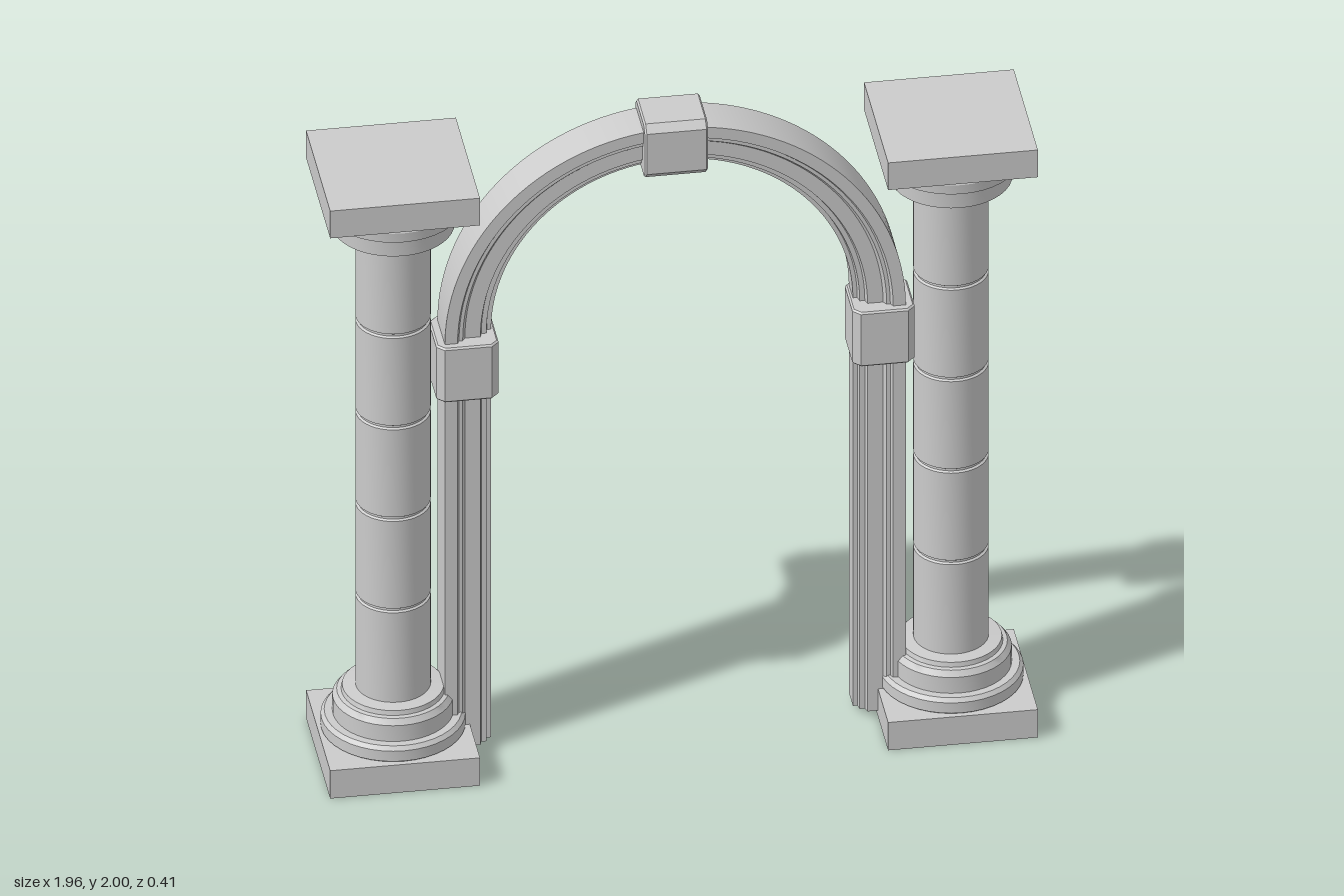
import * as THREE from 'three';
import { toCreasedNormals } from 'three/addons/utils/BufferGeometryUtils.js';

const material = new THREE.MeshStandardMaterial({ color: 0xcccccc });
const COLUMN_X = 0.771, SHAFT_R = 0.103, SPRING_Y = 1.34;

// Moulded section of the arch as [radius, z]: flat back, stepped front
const archSection = [
  [0.5, -0.07], [0.637, -0.07], [0.637, 0.058], [0.602, 0.058], [0.596, 0.046],
  [0.586, 0.046], [0.578, 0.034], [0.535, 0.034], [0.53, 0.018], [0.516, 0.018],
  [0.512, 0.0], [0.5, 0.0],
];

function add(parent, name, geometry, x = 0, y = 0, z = 0) {
  const mesh = new THREE.Mesh(geometry, material);
  mesh.name = name;
  mesh.position.set(x, y, z);
  parent.add(mesh);
  return mesh;
}

function lathe(points, segments, start, length) {
  const profile = points.map(([r, h]) => new THREE.Vector2(r, h));
  return toCreasedNormals(new THREE.LatheGeometry(profile, segments, start, length), 0.5);
}

// Square block with chamfered long edges, standing along y
function chamferedBlock(size, height, cut = 0.021) {
  const a = size / 2, b = a - cut, bevel = 0.005;
  const shape = new THREE.Shape([
    [a, -b], [a, b], [b, a], [-b, a], [-a, b], [-a, -b], [-b, -a], [b, -a],
  ].map(([x, y]) => new THREE.Vector2(x, y)));
  return new THREE.ExtrudeGeometry(shape, {
    depth: height - 2 * bevel, bevelEnabled: true, bevelSegments: 1,
    bevelSize: bevel, bevelThickness: bevel, bevelOffset: -bevel,
  }).translate(0, 0, bevel - height / 2).rotateX(-Math.PI / 2);
}

function createColumn(name, x) {
  const column = new THREE.Group();
  column.name = name;
  column.position.x = x;
  add(column, 'plinth', new THREE.BoxGeometry(0.414, 0.09, 0.414), 0, 0.045);
  add(column, 'base', lathe([
    [0.185, 0.085], [0.198, 0.095], [0.198, 0.128], [0.188, 0.139], [0.166, 0.139],
    [0.166, 0.19], [0.154, 0.206], [0.142, 0.208], [0.139, 0.222], [0.1, 0.226],
  ], 40));

  // Shaft of stacked drums with narrow joints
  const shaft = [[SHAFT_R, 0.22]];
  for (const y of [0.522, 0.818, 1.114, 1.41]) {
    shaft.push([SHAFT_R, y - 0.007], [SHAFT_R - 0.006, y - 0.003],
      [SHAFT_R - 0.006, y + 0.003], [SHAFT_R, y + 0.007]);
  }
  shaft.push([SHAFT_R, 1.7]);
  add(column, 'shaft', lathe(shaft, 40));

  add(column, 'capital', lathe([
    [0.1, 1.685], [0.122, 1.685], [0.126, 1.699], [0.148, 1.7], [0.168, 1.71],
    [0.17, 1.758], [0.178, 1.768], [0.192, 1.77], [0.194, 1.8], [0.184, 1.82],
  ], 40));
  add(column, 'abacus', new THREE.BoxGeometry(0.414, 0.088, 0.414), 0, 1.857);
  return column;
}

export function createModel() {
  const model = new THREE.Group();
  model.name = 'archway';

  // Half ring swept from the moulded section
  const ring = lathe([...archSection, archSection[0]], 64, Math.PI / 2, Math.PI);
  add(model, 'arch', ring.rotateX(Math.PI / 2), 0, SPRING_Y);

  for (const [side, s] of [['left', 1], ['right', -1]]) {
    model.add(createColumn(side + 'Column', s * COLUMN_X));
    // Straight jamb continuing the arch section downwards
    const shape = new THREE.Shape(archSection.map(([r, z]) => new THREE.Vector2(s * r, -z)));
    const jamb = new THREE.ExtrudeGeometry(shape, { depth: SPRING_Y - 0.02, bevelEnabled: false });
    add(model, side + 'Jamb', jamb.rotateX(-Math.PI / 2), 0, 0.02);
    add(model, side + 'Impost', chamferedBlock(0.172, 0.175), s * 0.575, 1.253, -0.005);
  }

  // Keystone: the same block laid along the crown
  const keystone = add(model, 'keystone', chamferedBlock(0.172, 0.175), 0, 1.914, -0.005);
  keystone.rotation.z = Math.PI / 2;
  return model;
}
